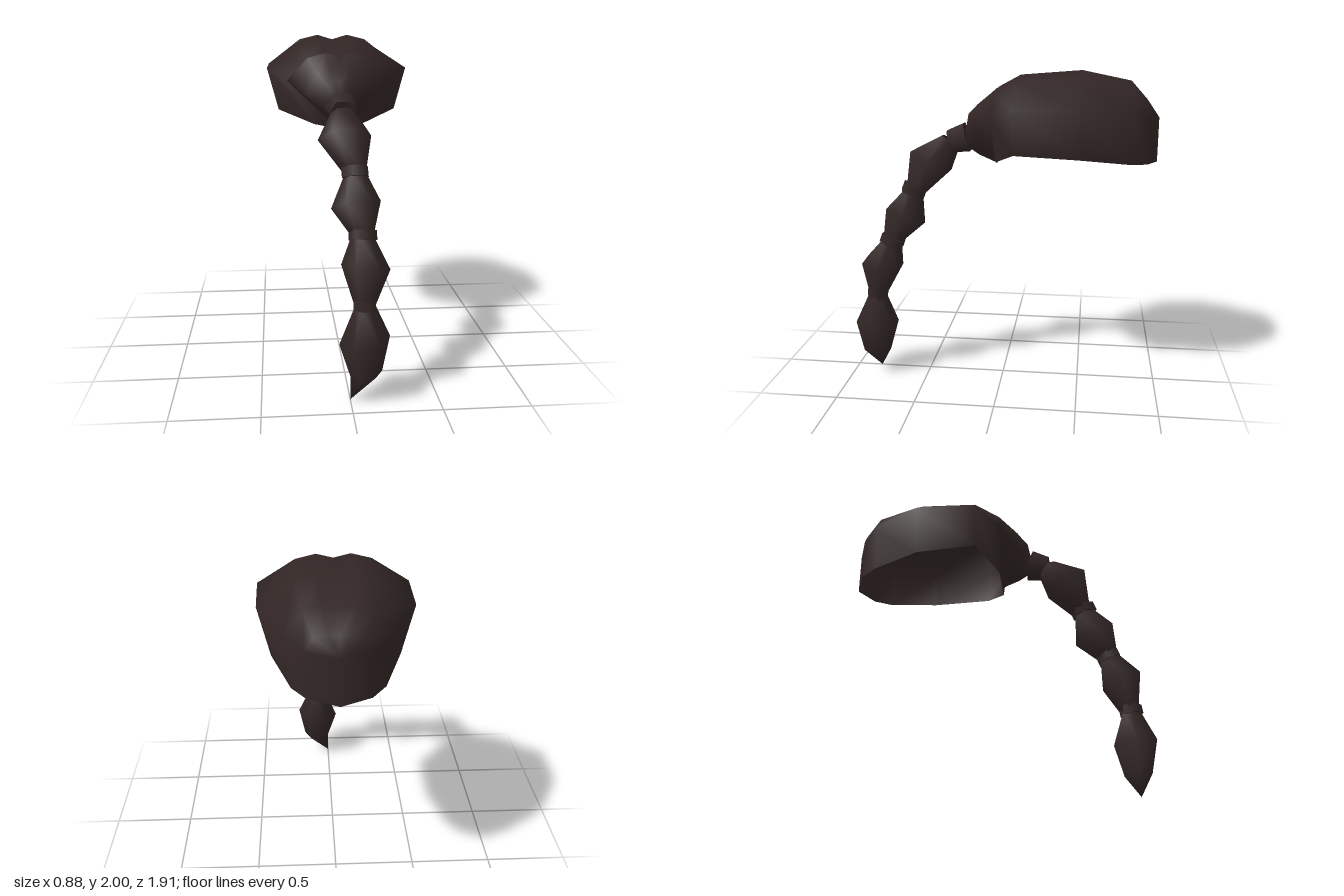
import * as THREE from 'three';
import { mergeVertices } from 'three/addons/utils/BufferGeometryUtils.js';

const hair = new THREE.MeshStandardMaterial({ color: 0x322625, side: THREE.DoubleSide });
hair.name = 'darkBrownHair';

// Skin a list of equal-length point rows; closed rows wrap round
function skin(rows, closed) {
  const n = rows[0].length, pos = [], index = [];
  rows.forEach(r => r.forEach(p => pos.push(p.x, p.y, p.z)));
  for (let i = 0; i < rows.length - 1; i++) {
    for (let j = 0; j < (closed ? n : n - 1); j++) {
      const k = (j + 1) % n;
      const a = i * n + j, b = i * n + k, c = a + n, d = b + n;
      index.push(a, b, d, a, d, c);
    }
  }
  let g = new THREE.BufferGeometry();
  g.setAttribute('position', new THREE.Float32BufferAttribute(pos, 3));
  g.setIndex(index);
  g = mergeVertices(g, 1e-4);
  g.computeVertexNormals();
  return g;
}

// Six-sided ring round a centre, square to an axis, with corners on the x sides
function ring([x, y, z, r], axis) {
  const d = new THREE.Vector3(...axis).normalize();
  const u = new THREE.Vector3(1, 0, 0).addScaledVector(d, -d.x).normalize();
  const v = new THREE.Vector3().crossVectors(d, u);
  return Array.from({ length: 6 }, (_, i) => {
    const a = -i * Math.PI / 3;
    return new THREE.Vector3(x, y, z)
      .addScaledVector(u, r * Math.cos(a)).addScaledVector(v, r * Math.sin(a));
  });
}

// Arched section of the cap: rim, widest point, shoulder, ridge, parting, then mirrored
function arch([z, rx, ry, wx, wy, sx, sy, px, py, cy]) {
  const half = [[rx, ry], [wx, wy], [sx, sy], [px, py]];
  const pts = [...half, [0, cy], ...half.slice().reverse().map(([x, y]) => [-x, y])];
  return pts.map(([x, y]) => new THREE.Vector3(x, y, z));
}

export function createModel() {
  const model = new THREE.Group();
  model.name = 'braidedHair';
  const add = (name, geometry) => {
    const m = new THREE.Mesh(geometry, hair);
    m.name = name;
    model.add(m);
  };

  // Open cap with a shallow parting, closing under at the braid
  const sections = [
    [-0.95, 0, 1.46, 0, 1.73, 0, 1.73, 0, 1.73, 1.73],
    [-0.88, 0.17, 1.47, 0.18, 1.74, 0.13, 1.81, 0.06, 1.83, 1.82],
    [-0.78, 0.25, 1.48, 0.28, 1.78, 0.18, 1.91, 0.09, 1.94, 1.92],
    [-0.48, 0.36, 1.52, 0.43, 1.81, 0.22, 1.97, 0.1, 2.0, 1.97],
    [-0.1, 0.37, 1.54, 0.44, 1.8, 0.22, 1.94, 0.1, 1.97, 1.945],
    [0.03, 0.15, 1.46, 0.32, 1.73, 0.19, 1.87, 0.08, 1.9, 1.88],
    [0.035, 0, 1.43, 0.315, 1.73, 0.19, 1.865, 0.08, 1.895, 1.875],
    [0.15, 0, 1.48, 0.21, 1.65, 0.13, 1.77, 0.06, 1.8, 1.79],
    [0.21, 0, 1.52, 0.11, 1.62, 0.08, 1.71, 0.04, 1.74, 1.73],
    [0.24, 0, 1.6, 0, 1.6, 0, 1.6, 0, 1.6, 1.6],
  ];
  add('cap', skin(sections.map(arch), false));

  // Braid locks: start, widest ring and end, each [x, y, z, radius]
  const locks = [
    { axis: [0.08, -0.88, 0.47], rings: [[0, 1.57, 0.33, 0.07], [0, 1.435, 0.46, 0.155], [0.05, 1.25, 0.555, 0.065]] },
    { axis: [0.14, -0.9, 0.4], rings: [[0.05, 1.25, 0.56, 0.06], [0.05, 1.08, 0.625, 0.143], [0.08, 0.93, 0.71, 0.065]] },
    { axis: [-0.12, -0.97, 0.2], rings: [[0.08, 0.93, 0.71, 0.06], [0.09, 0.763, 0.78, 0.138], [0.08, 0.555, 0.82, 0.06]] },
    { axis: [0.15, -0.98, 0.04], rings: [[0.08, 0.56, 0.825, 0.055], [0.08, 0.355, 0.835, 0.144],
      [0.09, 0.155, 0.84, 0.091], [0, 0, 0.84, 0]] },
  ];
  locks.forEach(({ axis, rings }, i) =>
    add(`braidLock${i + 1}`, skin(rings.map(r => ring(r, axis)), true)));

  // Ties between the locks
  const ties = [
    [0, 1.577, 0.28, 0.1, 0.115, [0, -0.25, 0.97]],
    [0.05, 1.255, 0.565, 0.082, 0.06, [0.05, -0.92, 0.35]],
    [0.08, 0.925, 0.71, 0.08, 0.055, [-0.02, -0.93, 0.35]],
    [0.08, 0.557, 0.825, 0.071, 0.055, [-0.05, -0.98, 0.15]],
  ];
  ties.forEach(([x, y, z, r, h, axis], i) => {
    const d = new THREE.Vector3(...axis).normalize();
    const g = new THREE.CylinderGeometry(r * (i ? 1 : 0.78), r, h, 6);
    g.rotateY(Math.PI / 6);
    g.applyQuaternion(new THREE.Quaternion().setFromUnitVectors(new THREE.Vector3(0, 1, 0), d));
    g.translate(x, y, z);
    add(`braidTie${i + 1}`, g);
  });

  return model;
}
